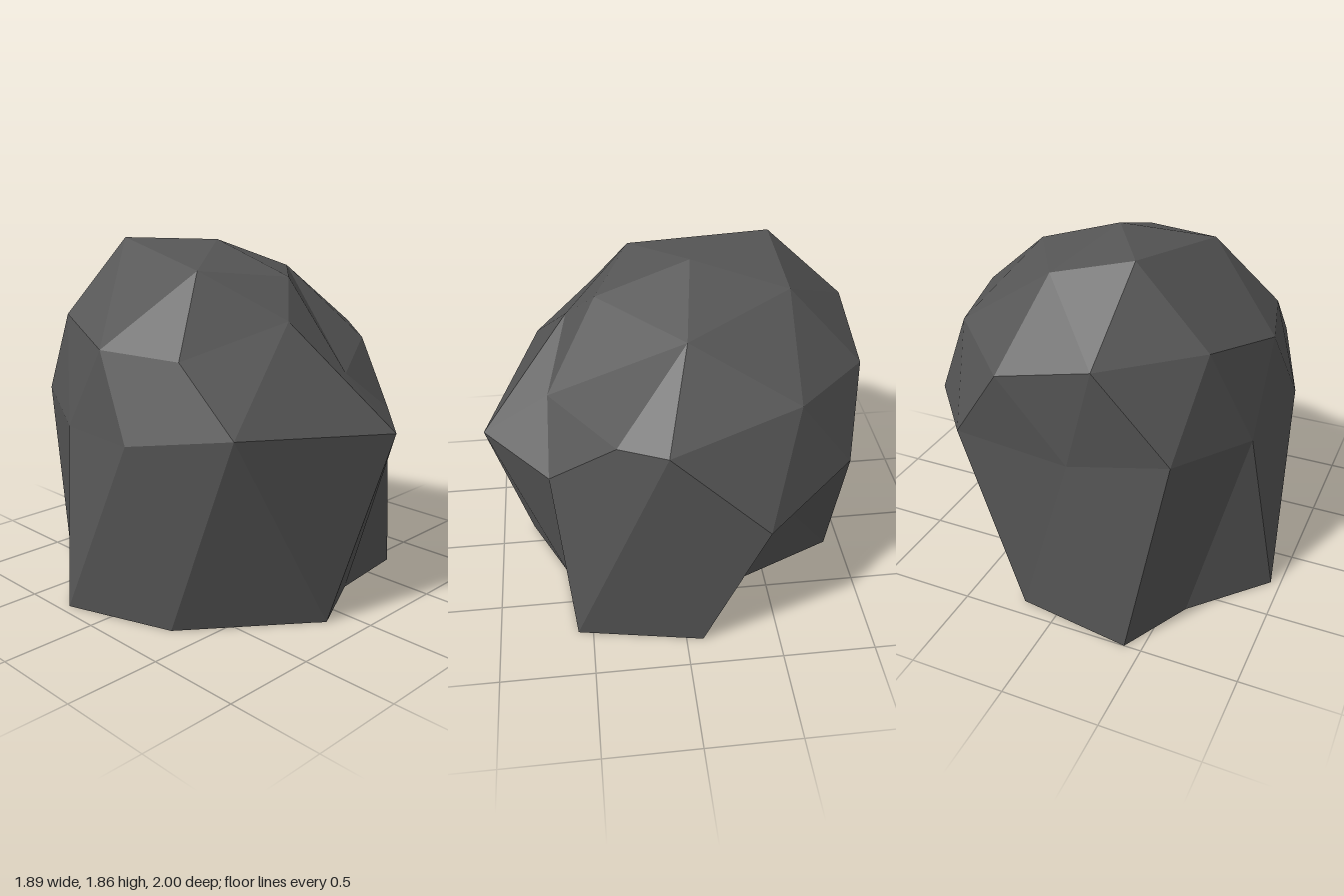
import * as THREE from 'three';

// A faceted boulder, lofted through irregular rings of corners with a flat base.
export function createModel() {
  const stone = new THREE.MeshStandardMaterial({ color: 0x555555 });
  stone.name = 'darkStone';

  // Ground outline, counter-clockwise from the front
  const base = [
    [-0.13, 0, 0.82], [0.26, 0, 0.63], [0.72, 0, 0.58], [0.84, 0, -0.09],
    [0.42, 0, -0.39], [0.2, 0, -0.91], [-0.41, 0, -1], [-0.6, 0, -0.63],
    [-0.95, 0, -0.25], [-0.75, 0, 0.33], [-0.19, 0, 0.77],
  ];
  // Widest ring; the hollow is the dent below its back right edge
  const hollow = [0.53, 0.65, -0.55];
  const waist = [
    [0.145, 0.98, 1], [0.54, 0.97, 0.665], [0.73, 1.29, 0.33], [0.89, 1.34, 0.1],
    [0.945, 0.87, -0.39], [0.55, 0.95, -0.87], [-0.09, 0.95, -0.94],
    [-0.58, 1.02, -0.86], [-0.82, 0.94, -0.36], [-0.89, 0.96, 0.18], [-0.69, 1.055, 0.71],
  ];
  const waistWithHollow = [...waist.slice(0, 5), hollow, ...waist.slice(5)];
  // Shoulder and crown share one corner on the right
  const ridge = [0.48, 1.69, -0.03];
  const shoulder = [
    [-0.13, 1.51, 0.53], [0.18, 1.22, 0.65], ridge, [0.66, 1.41, -0.56],
    [0.26, 1.36, -0.95], [-0.23, 1.48, -0.95], [-0.65, 1.48, -0.57],
    [-0.82, 1.38, -0.08], [-0.71, 1.37, 0.37],
  ];
  const crown = [
    [0.035, 1.7, 0.38], ridge, [0.15, 1.75, -0.58], [-0.27, 1.86, -0.54], [-0.41, 1.75, 0.18],
  ];
  const peak = [0, 1.86, -0.1];

  const positions = [];
  const triangle = (a, b, c) => {
    if (a !== b && b !== c && c !== a) positions.push(...a, ...b, ...c);
  };

  // Stitch two rings: L steps along the lower one, U along the upper one
  const stitch = (lower, upper, steps) => {
    let i = 0, j = 0;
    for (const step of steps) {
      const lo = lower[i % lower.length], up = upper[j % upper.length];
      if (step === 'L') triangle(lo, lower[++i % lower.length], up);
      else triangle(lo, upper[++j % upper.length], up);
    }
  };

  stitch(base, waistWithHollow, 'LULUULULULUULULULULULLU');
  triangle(hollow, waist[5], waist[4]);
  stitch(waist, shoulder, 'ULLULULLULULULULULUL');
  stitch(shoulder, crown, 'LLULULLULLULLU');

  // Close the top and the underside
  crown.forEach((p, i) => triangle(p, crown[(i + 1) % crown.length], peak));
  base.forEach((p, i) => triangle([0, 0, 0], base[(i + 1) % base.length], p));

  const geometry = new THREE.BufferGeometry();
  geometry.setAttribute('position', new THREE.Float32BufferAttribute(positions, 3));
  geometry.computeVertexNormals(); // unshared corners keep every facet flat

  const boulder = new THREE.Mesh(geometry, stone);
  boulder.name = 'boulder';
  const group = new THREE.Group();
  group.name = 'rock';
  group.add(boulder);
  return group;
}
